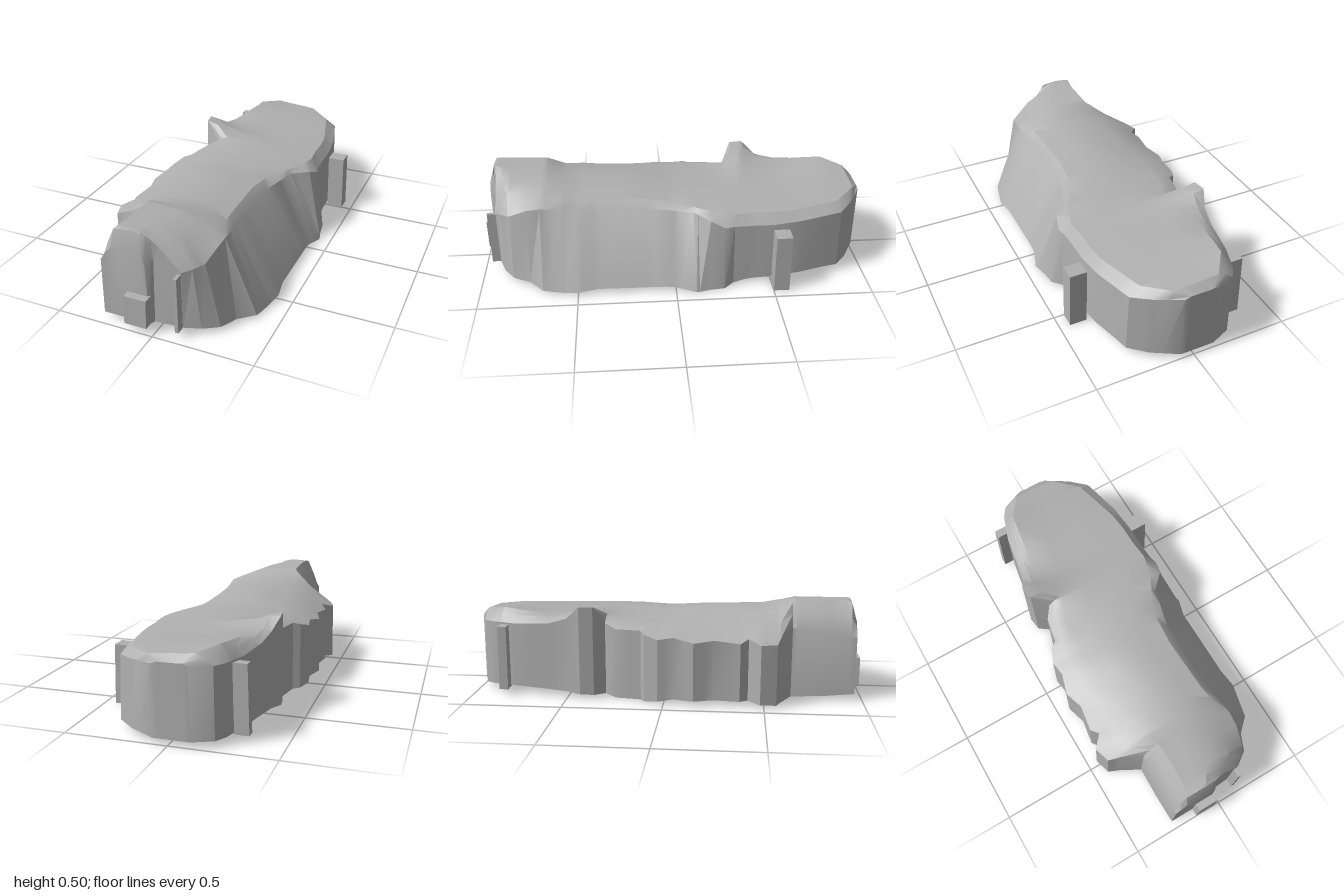
import * as THREE from 'three';
import { toCreasedNormals } from 'three/addons/utils/BufferGeometryUtils.js';

// Left edge: z, x, shoulder height
const LEFT = [
  [-1, -0.1, 0.38], [-0.96, -0.2, 0.38], [-0.91, -0.235, 0.38], [-0.78, -0.28, 0.38],
  [-0.6, -0.31, 0.39], [-0.5, -0.33, 0.42], [-0.43, -0.36, 0.485], [-0.36, -0.35, 0.485],
  [-0.31, -0.275, 0.39], [-0.25, -0.32, 0.37], [-0.12, -0.345, 0.37], [-0.1, -0.38, 0.36],
  [-0.03, -0.41, 0.34], [0.05, -0.4, 0.35], [0.15, -0.43, 0.33], [0.25, -0.4, 0.34],
  [0.38, -0.42, 0.33], [0.42, -0.39, 0.35], [0.48, -0.445, 0.33], [0.56, -0.42, 0.33],
  [0.58, -0.37, 0.36], [0.64, -0.26, 0.38], [0.8, -0.265, 0.36], [0.96, -0.265, 0.34],
];
// Right edge: z, foot x, shoulder x, shoulder height
const RIGHT = [
  [-1, 0.07, 0.07, 0.38], [-0.93, 0.2, 0.19, 0.37], [-0.86, 0.285, 0.275, 0.36],
  [-0.65, 0.34, 0.33, 0.35], [-0.5, 0.36, 0.345, 0.34], [-0.4, 0.36, 0.345, 0.34],
  [-0.3, 0.37, 0.35, 0.34], [-0.25, 0.41, 0.36, 0.34], [-0.18, 0.42, 0.34, 0.37],
  [-0.1, 0.44, 0.26, 0.38], [0, 0.41, 0.235, 0.38], [0.1, 0.41, 0.21, 0.38],
  [0.4, 0.41, 0.21, 0.38], [0.5, 0.425, 0.21, 0.39], [0.68, 0.385, 0.225, 0.41],
  [0.75, 0.31, 0.22, 0.4], [0.84, 0.27, 0.2, 0.36], [0.89, 0.2, 0.16, 0.35],
  [0.92, 0.12, 0.12, 0.34], [0.93, -0.02, -0.01, 0.38], [0.96, -0.03, -0.04, 0.36],
];
// Upper surface: z, left x, left y, middle y, right x, right y
const TOP = [
  [-1, -0.06, 0.39, 0.39, 0.04, 0.39], [-0.96, -0.12, 0.43, 0.42, 0.1, 0.41],
  [-0.85, -0.2, 0.45, 0.42, 0.22, 0.4], [-0.6, -0.24, 0.425, 0.41, 0.29, 0.39],
  [-0.5, -0.25, 0.43, 0.41, 0.3, 0.39], [-0.4, -0.24, 0.455, 0.41, 0.3, 0.39],
  [-0.3, -0.2, 0.42, 0.41, 0.31, 0.39], [-0.18, -0.25, 0.4, 0.415, 0.28, 0.395],
  [0, -0.26, 0.395, 0.42, 0.18, 0.405], [0.2, -0.25, 0.405, 0.445, 0.16, 0.42],
  [0.5, -0.22, 0.44, 0.46, 0.17, 0.425], [0.57, -0.21, 0.455, 0.475, 0.18, 0.43],
  [0.66, -0.18, 0.505, 0.495, 0.16, 0.44], [0.85, -0.18, 0.51, 0.5, 0.1, 0.45],
  [0.92, -0.19, 0.51, 0.51, 0.02, 0.44], [0.935, -0.2, 0.5, 0.51, -0.04, 0.5],
  [0.96, -0.21, 0.41, 0.43, -0.06, 0.42],
];
// Lower rim: z, y
const RIM = [
  [-1, 0.04], [-0.8, 0.05], [-0.5, 0.04], [-0.35, 0.03], [-0.28, 0.01], [-0.12, 0.012],
  [0.05, 0.035], [0.4, 0.038], [0.6, 0.02], [0.8, 0.03], [0.96, 0.045],
];

// Linear lookup of a table row at depth z
function at(table, z) {
  let i = 0;
  while (i < table.length - 2 && table[i + 1][0] < z) i++;
  const a = table[i], b = table[i + 1];
  const t = THREE.MathUtils.clamp((z - a[0]) / (b[0] - a[0]), 0, 1);
  return a.map((v, k) => v + (b[k] - v) * t);
}

// Cross-section from the left foot over the top to the right foot
function section(z) {
  const [, lx, ly] = at(LEFT, z);
  const [, fx, rx, ry] = at(RIGHT, z);
  const [, ax, ay, my, bx, by] = at(TOP, z);
  const y0 = at(RIM, z)[1];
  const mx = (ax + bx) / 2;
  return [
    [lx - 0.005, y0], [lx, ly], [(lx + ax) / 2, (ly + ay) / 2 + 0.008], [ax, ay],
    [(ax + mx) / 2, ay * 0.4 + my * 0.6], [mx, my], [(bx + mx) / 2, by * 0.4 + my * 0.6],
    [bx, by], [rx, ry], [fx, y0],
  ].map(([x, y]) => new THREE.Vector3(x, y, z));
}

function shellGeometry() {
  const depths = [...new Set([...LEFT, ...RIGHT, ...TOP].map((row) => row[0]))].sort((a, b) => a - b);
  const rows = depths.map(section);
  const positions = [];
  const quad = (a, b, c, d) => {
    for (const p of [a, b, c, a, c, d]) positions.push(p.x, p.y, p.z);
  };
  // Walls and upper surface
  for (let i = 0; i < rows.length - 1; i++) {
    for (let j = 0; j < rows[i].length - 1; j++) {
      quad(rows[i][j], rows[i + 1][j], rows[i + 1][j + 1], rows[i][j + 1]);
    }
  }
  // End walls, the underside stays open
  for (const [row, front] of [[rows[0], false], [rows[rows.length - 1], true]]) {
    const foot = row.map((p) => new THREE.Vector3(p.x, row[0].y, p.z));
    for (let j = 0; j < row.length - 1; j++) {
      if (front) quad(foot[j], foot[j + 1], row[j + 1], row[j]);
      else quad(foot[j], row[j], row[j + 1], foot[j + 1]);
    }
  }
  const geometry = new THREE.BufferGeometry();
  geometry.setAttribute('position', new THREE.Float32BufferAttribute(positions, 3));
  return toCreasedNormals(geometry, 0.5);
}

export function createModel() {
  const group = new THREE.Group();
  const stone = new THREE.MeshStandardMaterial({ color: 0xb0b0b0, side: THREE.DoubleSide });
  stone.name = 'grey stone';

  const shell = new THREE.Mesh(shellGeometry(), stone);
  shell.name = 'rockShell';
  group.add(shell);

  // Small upright projections: name, x range, y range, z range, lean of the top in x
  const projections = [
    ['sidePost', 0.36, 0.447, 0.01, 0.315, -0.58, -0.5, -0.008],
    ['backNub', -0.33, -0.26, 0.04, 0.37, -0.86, -0.815, 0.01],
    ['frontStep', -0.142, -0.028, 0.045, 0.198, 0.94, 1, 0.006],
    ['frontFin', 0.1, 0.118, 0.04, 0.33, 0.86, 0.965, 0],
  ];
  for (const [name, x0, x1, y0, y1, z0, z1, lean] of projections) {
    const geometry = new THREE.BoxGeometry(x1 - x0, y1 - y0, z1 - z0);
    const p = geometry.attributes.position;
    for (let i = 0; i < p.count; i++) if (p.getY(i) > 0) p.setX(i, p.getX(i) + lean);
    geometry.computeVertexNormals();
    const mesh = new THREE.Mesh(geometry, stone);
    mesh.position.set((x0 + x1) / 2, (y0 + y1) / 2, (z0 + z1) / 2);
    mesh.name = name;
    group.add(mesh);
  }
  return group;
}
